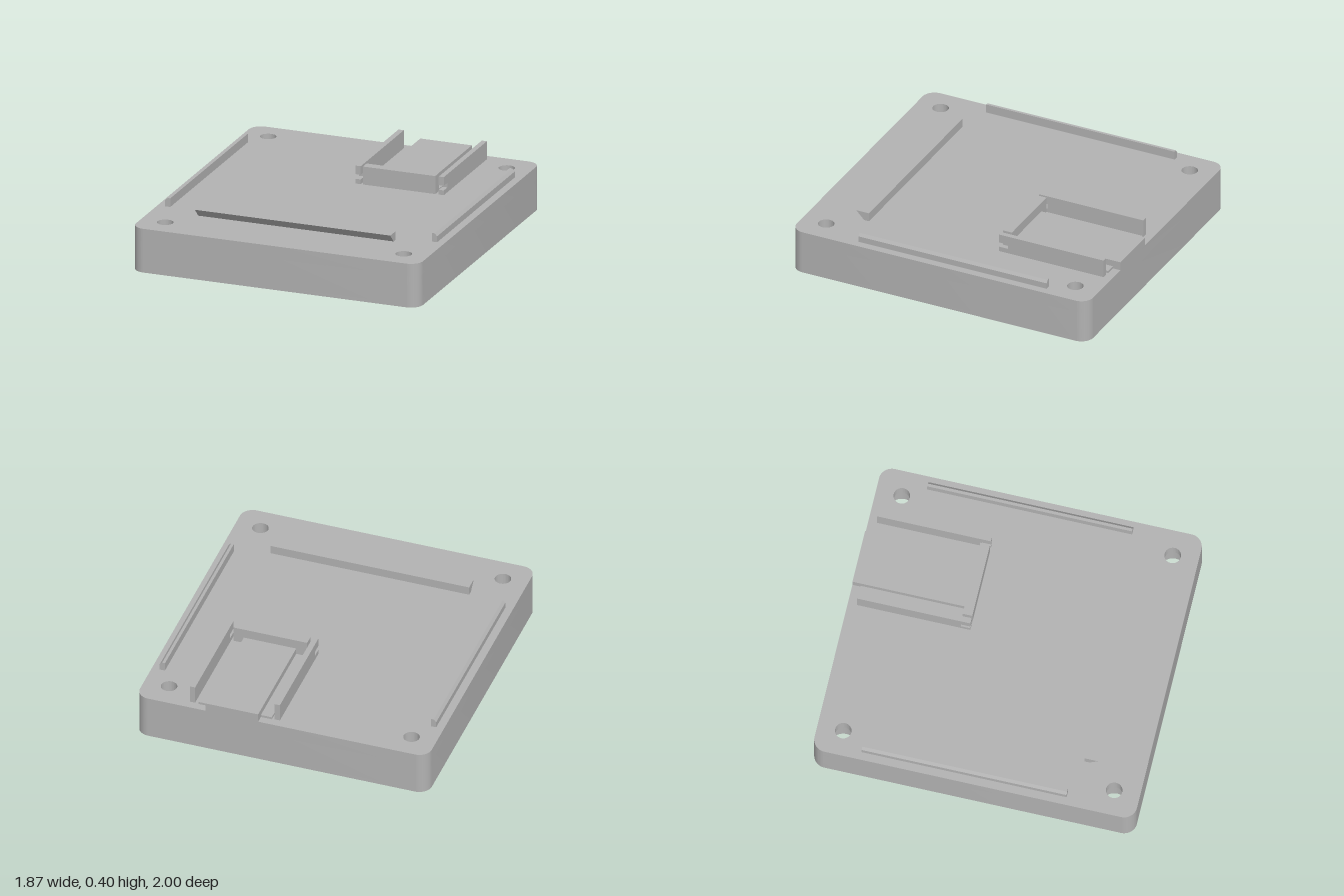
import * as THREE from 'three';
import { toCreasedNormals } from 'three/addons/utils/BufferGeometryUtils.js';

const TOP = 0.28;      // top face of the base
const LOW = 0.335;     // top of the low ribs and plate
const HIGH = 0.395;    // top of the connector guides

export function createModel() {
  const model = new THREE.Group();
  const grey = new THREE.MeshStandardMaterial({ color: 0xb2b2b2 });
  grey.name = 'light grey';

  function add(name, geometry) {
    const mesh = new THREE.Mesh(geometry, grey);
    mesh.name = name;
    model.add(mesh);
    return mesh;
  }

  function box(name, x0, x1, y0, y1, z0, z1) {
    const g = new THREE.BoxGeometry(x1 - x0, y1 - y0, z1 - z0);
    add(name, g.translate((x0 + x1) / 2, (y0 + y1) / 2, (z0 + z1) / 2));
  }

  const polygon = (points) => new THREE.Shape(points.map(([a, b]) => new THREE.Vector2(a, b)));

  // Prism with an (x, y) section running along z
  function alongZ(name, points, z0, z1) {
    const g = new THREE.ExtrudeGeometry(polygon(points), { depth: z1 - z0, bevelEnabled: false });
    add(name, g.translate(0, 0, z0));
  }

  // Prism with a (z, y) section running along x
  function alongX(name, points, x0, x1) {
    const g = new THREE.ExtrudeGeometry(polygon(points), { depth: x1 - x0, bevelEnabled: false });
    add(name, g.rotateY(-Math.PI / 2).translate(x1, 0, 0));
  }

  // One slab of the rounded base, with screw holes and optional label recesses
  function baseLayer(name, y0, y1, holeRadius, recessed) {
    const w = 0.933, d = 1, r = 0.08;
    const s = new THREE.Shape();
    s.absarc(w - r, d - r, r, 0, Math.PI / 2);
    s.absarc(-w + r, d - r, r, Math.PI / 2, Math.PI);
    s.absarc(-w + r, -d + r, r, Math.PI, Math.PI * 1.5);
    s.absarc(w - r, -d + r, r, Math.PI * 1.5, Math.PI * 2);
    for (const sx of [-1, 1]) {
      for (const sz of [-1, 1]) {
        const hole = new THREE.Path();
        hole.absarc(sx * 0.775, sz * 0.84, holeRadius, 0, Math.PI * 2, true);
        s.holes.push(hole);
      }
      if (recessed) {
        const a = sx * 0.24, b = sx * 0.67, e = 0.83;
        s.holes.push(new THREE.Path([[a, -e], [b, -e], [b, e], [a, e]].map(([x, z]) => new THREE.Vector2(x, z))));
      }
    }
    const g = new THREE.ExtrudeGeometry(s, { depth: y1 - y0, bevelEnabled: false, curveSegments: 24 });
    g.rotateX(-Math.PI / 2).translate(0, y0, 0);
    add(name, toCreasedNormals(g, 0.6));
  }

  // Base: recessed underside, counterbored middle, top with small holes
  baseLayer('baseUnderside', 0, 0.02, 0.083, true);
  baseLayer('baseBody', 0.02, 0.2, 0.083, false);
  baseLayer('baseTop', 0.2, TOP, 0.05, false);

  // Side ribs with a chamfered outer edge
  for (const s of [-1, 1]) {
    const section = [[0.85, TOP], [0.884, TOP], [0.884, 0.318], [0.868, LOW], [0.85, LOW]];
    const points = section.map(([x, y]) => [s * x, y]);
    alongZ(s > 0 ? 'leftRib' : 'rightRib', points, -0.7, 0.57);
  }

  // Undercut catch across the front
  alongX('frontCatch', [[0.622, TOP], [0.654, TOP], [0.708, LOW], [0.622, LOW]], -0.635, 0.635);

  // Connector: plate, low ledges, front stop
  box('connectorPlate', 0.15, 0.485, TOP, LOW, -1, -0.3);
  box('connectorLedge', 0.08, 0.15, TOP, 0.295, -0.95, -0.3);
  box('connectorLedge', 0.485, 0.55, TOP, 0.295, -0.95, -0.3);
  box('connectorStop', 0.08, 0.55, TOP, HIGH, -0.3, -0.24);

  // Connector guides, slotted at the front end
  const guide = [
    [-0.945, TOP], [-0.24, TOP], [-0.24, 0.31], [-0.3, 0.31],
    [-0.3, 0.34], [-0.24, 0.34], [-0.24, HIGH], [-0.945, HIGH],
  ];
  alongX('connectorGuide', guide, 0.03, 0.065);
  alongX('connectorGuide', guide, 0.572, 0.605);

  return model;
}
